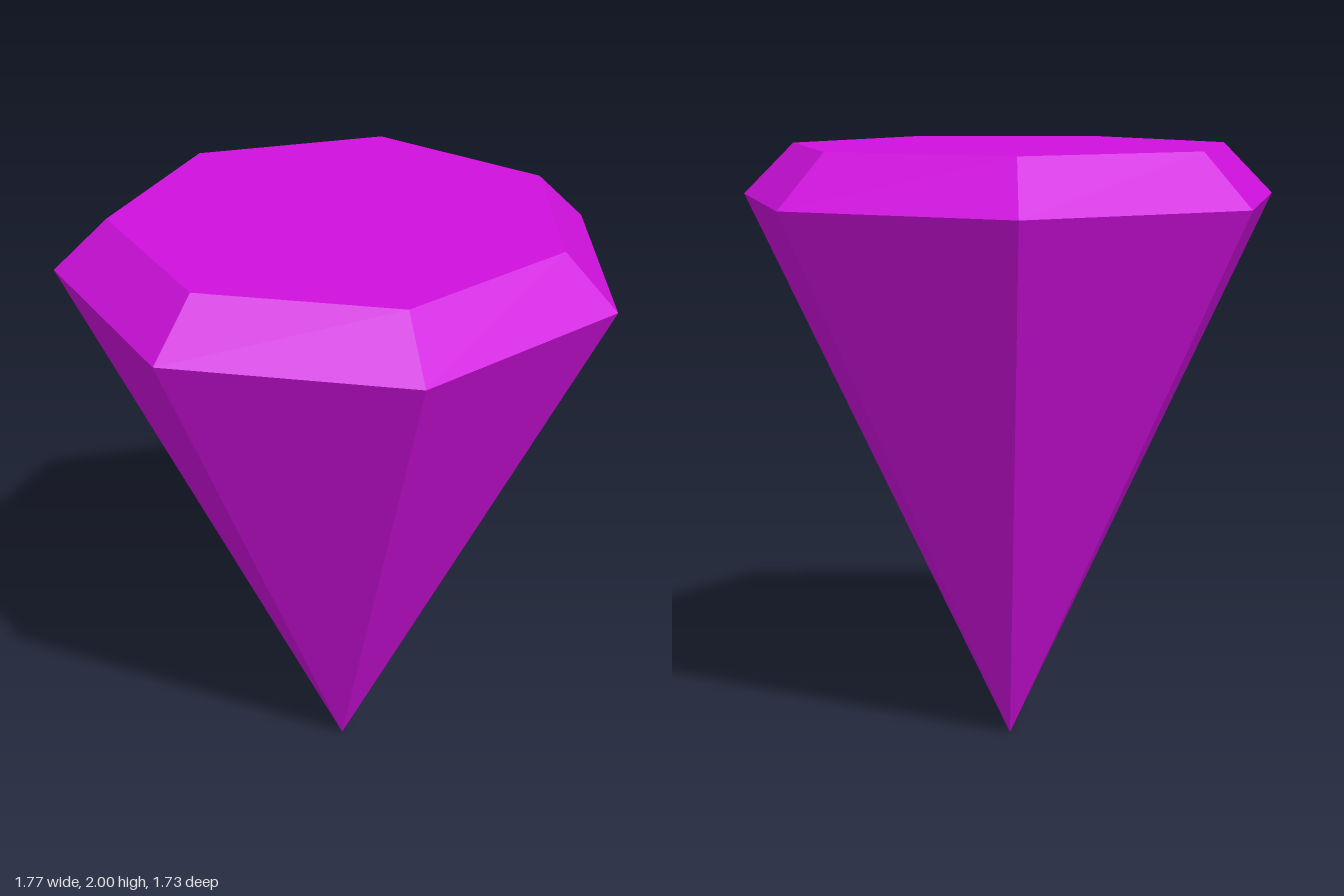
import * as THREE from 'three';

const SIDES = 7;
const GIRDLE_RADIUS = 0.91, TABLE_RADIUS = 0.735;
const GIRDLE_Y = 1.83, TOP_Y = 2;

export function createModel() {
  const group = new THREE.Group();
  group.name = 'gem';
  const purple = new THREE.MeshStandardMaterial({ color: 0xd010de, flatShading: true });
  purple.name = 'vivid purple';

  const addPart = (name, geometry) => {
    const flat = geometry.toNonIndexed();
    flat.computeVertexNormals();
    const mesh = new THREE.Mesh(flat, purple);
    mesh.name = name;
    group.add(mesh);
  };

  // Open ring of facets between two heights, one corner pointing forward
  const facets = (topRadius, bottomRadius, y0, y1) =>
    new THREE.CylinderGeometry(topRadius, bottomRadius, y1 - y0, SIDES, 1, true)
      .translate(0, (y0 + y1) / 2, 0);

  // Long facets tapering to the bottom point
  addPart('pavilion', facets(GIRDLE_RADIUS, 0, 0, GIRDLE_Y));

  // Short sloping facets above the widest edge
  addPart('crown', facets(TABLE_RADIUS, GIRDLE_RADIUS, GIRDLE_Y, TOP_Y));

  // Flat top
  addPart('table', new THREE.CircleGeometry(TABLE_RADIUS, SIDES, -Math.PI / 2)
    .rotateX(-Math.PI / 2)
    .translate(0, TOP_Y, 0));

  // Centre the odd-sided outline front to back
  const shift = -GIRDLE_RADIUS * (1 - Math.cos(Math.PI / SIDES)) / 2;
  group.children.forEach((mesh) => { mesh.position.z = shift; });
  return group;
}
